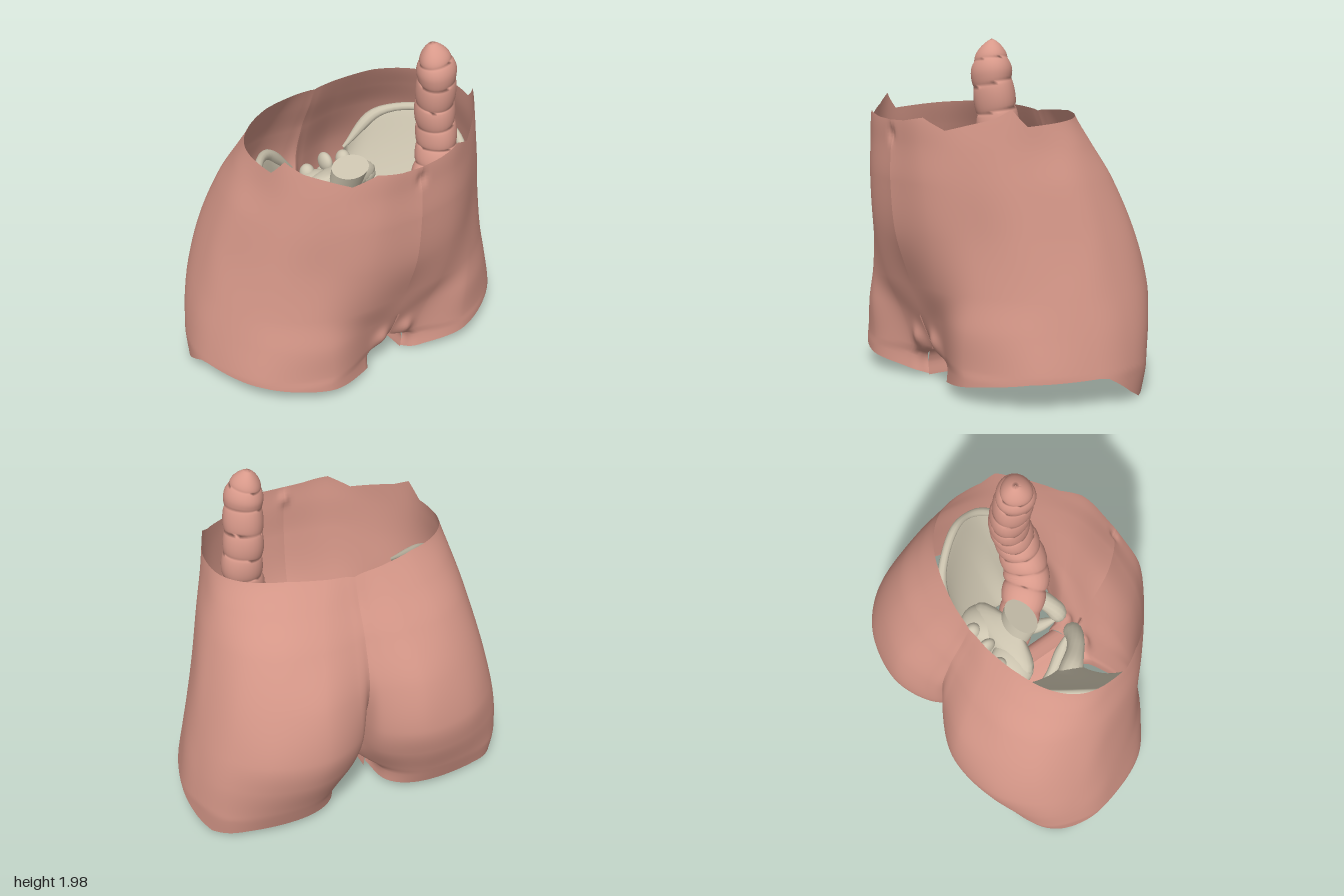
import * as THREE from 'three';
import { ParametricGeometry } from 'three/addons/geometries/ParametricGeometry.js';

const V = (p) => new THREE.Vector3(...p);
const curve = (pts) => new THREE.CatmullRomCurve3(pts.map(V));

// smooth interpolation through unevenly spaced keys
function spline(xs, vs, x) {
  const n = xs.length - 1;
  let k = 0;
  while (k < n - 1 && x > xs[k + 1]) k++;
  const slope = (i) => {
    const a = Math.max(i - 1, 0), b = Math.min(i + 1, n);
    return (vs[b] - vs[a]) / (xs[b] - xs[a]);
  };
  const h = xs[k + 1] - xs[k], t = Math.min(1, Math.max(0, (x - xs[k]) / h));
  const s = t * t * (3 - 2 * t);
  return vs[k] * (1 - s) + vs[k + 1] * s
    + h * (t * (1 - t) * (1 - t) * slope(k) - t * t * (1 - t) * slope(k + 1));
}

// straight interpolation through [x, value] pairs
function linear(pairs, x) {
  let k = 0;
  while (k < pairs.length - 2 && x > pairs[k + 1][0]) k++;
  const [a, b] = [pairs[k], pairs[k + 1]];
  return a[1] + (b[1] - a[1]) * (x - a[0]) / (b[0] - a[0]);
}

const surface = (fn, nu, nv) =>
  new ParametricGeometry((u, v, target) => target.copy(fn(u, v)), nu, nv);

// tube along a path; size(v, angle) returns [depth, width]
function sweep(pts, size, nu, nv, ref = [1, 0, 0]) {
  const path = curve(pts), axis = V(ref).normalize();
  return surface((u, v) => {
    const t = Math.min(1, Math.max(0, v)), a = u * Math.PI * 2;
    const T = path.getTangent(t);
    const S = T.clone().cross(axis).normalize();
    const B = T.clone().cross(S);
    const [d, w] = size(t, a);
    return path.getPoint(t).addScaledVector(S, d * Math.cos(a)).addScaledVector(B, w * Math.sin(a));
  }, nu, nv);
}

const keyed = (list) => {
  const xs = list.map((_, i) => i / (list.length - 1));
  return (v) => spline(xs, list, v);
};
const round = (list) => { const f = keyed(list); return (v) => [f(v), f(v)]; };

// half outlines of the body, front midline round to back midline
const levels = [0, 0.14, 0.2, 0.4, 0.6, 0.9, 1.2, 1.4, 1.55, 1.65];
const outX = [
  [0.13, 0.2, 0.5, 0.84, 0.99, 0.97, 0.84, 0.6, 0.34, 0.18, 0.13],
  [0.13, 0.2, 0.5, 0.84, 0.99, 0.975, 0.86, 0.62, 0.34, 0.17, 0.13],
  [0, 0.16, 0.48, 0.835, 0.985, 0.975, 0.86, 0.62, 0.335, 0.14, 0],
  [0, 0.2, 0.5, 0.8, 0.957, 0.95, 0.85, 0.62, 0.33, 0.08, 0],
  [0, 0.27, 0.54, 0.78, 0.915, 0.915, 0.82, 0.61, 0.31, 0.07, 0],
  [0, 0.3, 0.53, 0.74, 0.855, 0.85, 0.76, 0.57, 0.31, 0.08, 0],
  [0, 0.28, 0.5, 0.69, 0.785, 0.77, 0.67, 0.49, 0.26, 0.06, 0],
  [0, 0.26, 0.49, 0.665, 0.725, 0.71, 0.6, 0.43, 0.22, 0.05, 0],
  [0, 0.25, 0.47, 0.65, 0.69, 0.66, 0.55, 0.38, 0.18, 0.05, 0],
  [0, 0.24, 0.46, 0.645, 0.67, 0.64, 0.53, 0.36, 0.17, 0.05, 0],
];
const outZ = [
  [0.36, 0.46, 0.53, 0.335, -0.02, -0.25, -0.43, -0.49, -0.485, -0.4, -0.2],
  [0.37, 0.45, 0.53, 0.335, -0.02, -0.26, -0.45, -0.54, -0.54, -0.42, -0.2],
  [0.41, 0.45, 0.53, 0.335, -0.02, -0.265, -0.455, -0.56, -0.565, -0.44, -0.17],
  [0.5, 0.5, 0.53, 0.33, -0.02, -0.27, -0.47, -0.615, -0.65, -0.53, -0.3],
  [0.565, 0.565, 0.495, 0.3, 0, -0.25, -0.47, -0.635, -0.69, -0.59, -0.45],
  [0.665, 0.62, 0.49, 0.3, 0, -0.2, -0.42, -0.57, -0.64, -0.58, -0.535],
  [0.695, 0.65, 0.52, 0.33, 0.06, -0.15, -0.34, -0.46, -0.5, -0.475, -0.465],
  [0.69, 0.655, 0.52, 0.33, 0.09, -0.09, -0.25, -0.35, -0.39, -0.38, -0.375],
  [0.69, 0.66, 0.52, 0.33, 0.12, -0.05, -0.18, -0.27, -0.31, -0.315, -0.315],
  [0.67, 0.65, 0.51, 0.32, 0.13, -0.03, -0.15, -0.22, -0.26, -0.27, -0.27],
];
const rim = [[0, 1.54], [0.5, 1.545], [1.1, 1.57], [1.6, 1.505], [2.6, 1.57], [3, 1.625],
  [3.4, 1.53], [5, 1.55], [7, 1.57], [8, 1.555], [10, 1.535]];
const hem = [[0, 0.015], [1, 0.05], [2, 0.1], [3, 0.155], [4, 0.17], [4.2, 0.165], [5, 0.06],
  [5.5, 0.01], [6.5, 0.045], [10, 0.05]];
const index = outX[0].map((_, i) => i);

function skinPoint(u, v) {
  const c = u * 10;
  const low = linear(hem, c), y = low + (linear(rim, c) - low) * v;
  const at = (table) => spline(index, index.map((j) => spline(levels, table.map((r) => r[j]), y)), c);
  const x = Math.max(0, at(outX));
  let z = at(outZ);
  if (c < 2) {
    // navel dimple and the soft fold of the groin
    z -= 0.02 * Math.exp(-(x * x + ((y - 1.46) / 1.5) ** 2) / 0.001);
    z += 0.035 * Math.exp(-(((x - 0.085) / 0.05) ** 2) - ((y - 0.25) / 0.07) ** 2);
  }
  return new THREE.Vector3(x, y, z);
}

export function createModel() {
  const skin = new THREE.MeshStandardMaterial({ color: 0xd8998a, side: THREE.DoubleSide });
  skin.name = 'skin';
  const bone = new THREE.MeshStandardMaterial({ color: 0xcdc5b0, side: THREE.DoubleSide });
  bone.name = 'bone';
  const model = new THREE.Group();
  model.name = 'pelvisModel';
  const add = (parent, name, geometry, material, pos = [0, 0, 0], scale = [1, 1, 1]) => {
    const m = new THREE.Mesh(geometry, material);
    m.name = name;
    m.position.set(...pos);
    m.scale.set(...scale);
    parent.add(m);
    return m;
  };

  // shared geometries for both sides
  const bodyGeo = surface(skinPoint, 100, 72);
  const archX = keyed([0.13, 0.135, 0.1, 0]), archY = keyed([0.01, 0.1, 0.165, 0.195]);
  const archGeo = surface((u, v) => {
    const x = archX(v), f = Math.max(0, 1 - x / 0.13);
    return new THREE.Vector3(x, archY(v), -0.2 + 0.03 * f + u * (0.565 + 0.015 * f));
  }, 16, 12);

  // hip blade: thin curved plate between the brim and the crest
  const crestPts = [[0.19, 1.08, -0.3], [0.4, 1.28, -0.24], [0.61, 1.34, 0], [0.665, 1.24, 0.18], [0.59, 1.04, 0.4]];
  const crest = curve(crestPts);
  const brim = curve([[0.17, 0.86, -0.27], [0.25, 0.8, -0.1], [0.27, 0.74, 0.04], [0.27, 0.72, 0.16], [0.35, 0.74, 0.24]]);
  const bladeGeo = surface((u, v) => {
    const t = Math.min(1, Math.max(0, v)), a = u * Math.PI * 2, co = Math.cos(a);
    const top = crest.getPoint(t), low = brim.getPoint(t);
    const D = top.clone().sub(low).multiplyScalar(0.5);
    const N = crest.getTangent(t).add(brim.getTangent(t)).cross(D).normalize();
    const thick = 0.004 + 0.028 * Math.sqrt(Math.max(0, Math.sin(Math.PI * t)));
    return top.add(low).multiplyScalar(0.5).addScaledVector(D, co)
      .addScaledVector(N, thick * Math.sin(a) - 0.04 * (1 - co * co));
  }, 28, 28);
  const crestGeo = sweep(crestPts, round([0.01, 0.035, 0.025, 0.025, 0.02, 0.025, 0.01]), 10, 30, [0, 1, 0]);
  const pubisGeo = sweep([[0.36, 0.72, 0.1], [0.28, 0.72, 0.21], [0.18, 0.67, 0.31], [0.08, 0.57, 0.365], [0.06, 0.47, 0.35]],
    round([0.07, 0.07, 0.055, 0.055, 0.055, 0.01]), 12, 24);
  const ischiumGeo = sweep([[0.38, 0.7, 0.04], [0.3, 0.5, -0.05], [0.25, 0.34, -0.03], [0.19, 0.34, 0.1], [0.12, 0.42, 0.24], [0.06, 0.52, 0.35]],
    round([0.08, 0.07, 0.07, 0.05, 0.035, 0.04, 0.01]), 12, 30);
  const ball = new THREE.SphereGeometry(1, 20, 14);

  for (const [side, s] of [['left', 1], ['right', -1]]) {
    const half = new THREE.Group();
    half.name = side + 'Half';
    half.scale.x = s;
    model.add(half);
    add(half, 'bodySkin', bodyGeo, skin);
    add(half, 'innerThigh', archGeo, skin);
    add(half, 'hipBlade', bladeGeo, bone);
    add(half, 'hipCrest', crestGeo, bone);
    add(half, 'pubicBone', pubisGeo, bone);
    add(half, 'sitBone', ischiumGeo, bone);
    add(half, 'hipSocket', ball, bone, [0.38, 0.69, 0.08], [0.09, 0.1, 0.11]);
    const wing = add(half, 'sacralWing', ball, bone, [0.15, 1.01, -0.14], [0.14, 0.08, 0.12]);
    wing.rotation.z = -0.3;
    // knobs along the back of the sacrum
    for (let i = 0; i < 4; i++) {
      add(half, 'sacralKnob', ball, bone, [0.13 - i * 0.02, 1.06 - i * 0.11, -0.22 - i * 0.02], [0.045, 0.06, 0.05]);
    }
  }

  // sacrum and tailbone
  const depth = keyed([0.01, 0.09, 0.08, 0.06, 0.045, 0.03, 0.02, 0.005]);
  const width = keyed([0.05, 0.25, 0.25, 0.2, 0.14, 0.08, 0.035, 0.005]);
  add(model, 'sacrum', sweep([[0, 1.14, -0.02], [0, 0.98, -0.12], [0, 0.8, -0.21], [0, 0.62, -0.24], [0, 0.48, -0.17]],
    (v) => [depth(v), width(v)], 24, 30), bone);
  const disc = add(model, 'sacralPlate', new THREE.CylinderGeometry(1, 0.92, 0.12, 28), bone, [0, 1.13, 0.01], [0.12, 1, 0.085]);
  disc.rotation.x = 0.35;
  for (let i = 0; i < 4; i++) {
    add(model, 'sacralSpine', ball, bone, [0, 1.09 - i * 0.11, -0.22 - i * 0.02], [0.035, 0.06, 0.06]);
  }

  // bowel with pinched pouches and a leaning, pointed end
  const taper = keyed([0.05, 0.07, 0.09, 0.12, 0.135, 0.135, 0.125, 0.118, 0.115, 0.112, 0.115]);
  const bowelSize = (v, a) => {
    const pouch = 0.9 + 0.12 * Math.sqrt(Math.abs(Math.sin(v * Math.PI * 15 + 0.3 * Math.sin(a))));
    const end = Math.max(0, (v - 0.89) / 0.11);
    const r = taper(v) * pouch * Math.max(0.02, (1 - end ** 1.8) ** 0.7) * (1 + 0.03 * Math.cos(3 * a + v * 9));
    return [r, r];
  };
  add(model, 'bowel', sweep([[0, 0.25, -0.08], [0, 0.48, -0.1], [0.06, 0.7, 0.01], [0.16, 0.84, 0.15], [0.28, 0.95, 0.28],
    [0.4, 1.12, 0.3], [0.44, 1.32, 0.27], [0.425, 1.55, 0.26], [0.405, 1.8, 0.285], [0.38, 1.99, 0.27]],
  bowelSize, 28, 160, [1, 0, -1]), skin);

  return model;
}
